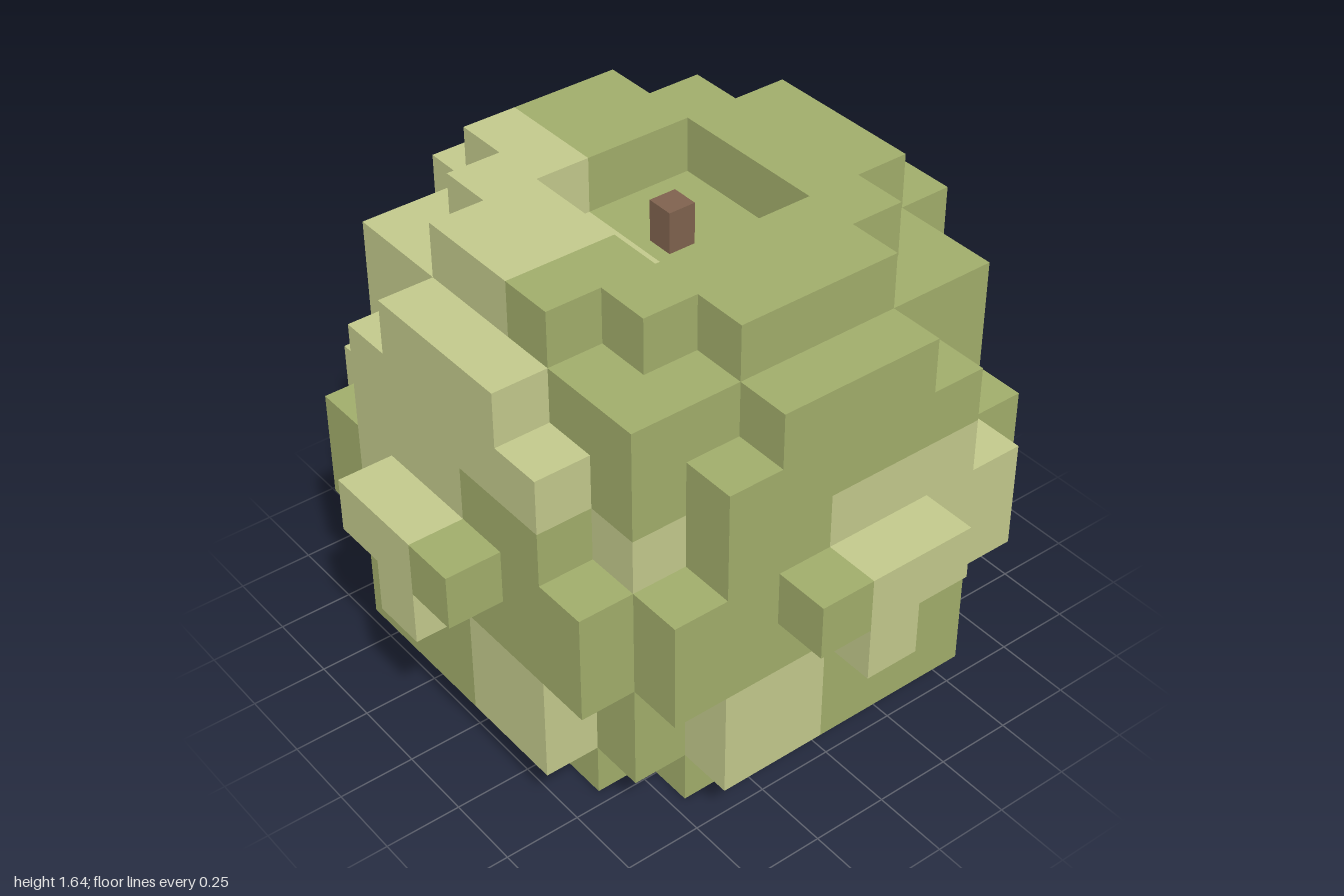
import * as THREE from 'three';
import { mergeGeometries } from 'three/addons/utils/BufferGeometryUtils.js';

const U = 2 / 11; // size of one block

const mats = {
  D: new THREE.MeshStandardMaterial({ color: 0xa1ad6b }),
  L: new THREE.MeshStandardMaterial({ color: 0xc3c98c }),
  stem: new THREE.MeshStandardMaterial({ color: 0x7f624e }),
};
mats.D.name = 'leafGreen';
mats.L.name = 'paleGreen';
mats.stem.name = 'stemBrown';

// Mottled skin in patches of 3 blocks: [height][x][z], D = leaf green, L = pale green
const PATCHES = [
  ['DDLD', 'LDDL', 'LLDD', 'LLLL'],
  ['DLDD', 'LLLD', 'LLLL', 'LDDL'],
  ['LLLL', 'LLDD', 'DDDD', 'DDDD'],
];
const patch = (i, j, k) =>
  PATCHES[Math.floor(j / 3)][Math.floor((i + 6) / 3)][Math.floor((k + 5) / 3)];

// Half widths of the raised side panels and side knobs, by layer
const PANEL = { 1: 2, 2: 2, 3: 3, 4: 3, 5: 2, 6: 2, 7: 1 };
const KNOB = { 3: 0, 4: 1 };

// Part name of the block at i, j, k, or null where there is none
function partAt(i, j, k) {
  const a = Math.abs(i), b = Math.abs(k);
  const d = Math.max(a, b), w = Math.min(a, b);
  const side = b > a ? (k > 0 ? 'front' : 'back') : (i > 0 ? 'left' : 'right');
  if (j < 0 || j > 8) return null;
  if (j === 0) return d <= 3 && w < 3 ? 'base' : null;
  if (j === 8) return d > 1 && d <= 3 && w <= (d === 3 ? 1 : 2) ? 'topRim' : null;
  if (d <= 3) return 'body';
  if (d === 4 && w <= PANEL[j]) return side + 'Panel';
  if (d === 5 && w <= KNOB[j]) return side + 'Knob';
  return null;
}

// One block face for each direction, pushed out from the block centre
const FACES = [
  [1, 0, 0], [-1, 0, 0], [0, 1, 0], [0, -1, 0], [0, 0, 1], [0, 0, -1],
].map((dir) => {
  const geo = new THREE.PlaneGeometry(U, U).translate(0, 0, U / 2);
  geo.applyQuaternion(new THREE.Quaternion().setFromUnitVectors(
    new THREE.Vector3(0, 0, 1), new THREE.Vector3(...dir)));
  if (dir[2] === -1) geo.copy(new THREE.PlaneGeometry(U, U).translate(0, 0, U / 2).rotateY(Math.PI));
  return { dir, geo };
});

export function createModel() {
  const model = new THREE.Group();
  model.name = 'blockFruit';

  // Gather the exposed faces by part and colour
  const parts = {};
  for (let i = -5; i <= 5; i++) for (let j = 0; j <= 8; j++) for (let k = -5; k <= 5; k++) {
    const part = partAt(i, j, k);
    if (!part) continue;
    const colour = patch(i, j, k);
    for (const { dir, geo } of FACES) {
      if (partAt(i + dir[0], j + dir[1], k + dir[2])) continue;
      parts[part] ??= {};
      (parts[part][colour] ??= []).push(geo.clone().translate(i * U, (j + 0.5) * U, k * U));
    }
  }

  // One group per part, one mesh per colour
  for (const [name, colours] of Object.entries(parts)) {
    const group = new THREE.Group();
    group.name = name;
    for (const [colour, faces] of Object.entries(colours)) {
      const mesh = new THREE.Mesh(mergeGeometries(faces), mats[colour]);
      mesh.name = name + (colour === 'L' ? 'PalePatch' : 'GreenPatch');
      group.add(mesh);
    }
    model.add(group);
  }

  // Short stem in the hollow of the top
  const stemHeight = U * 0.75;
  const stem = new THREE.Mesh(new THREE.BoxGeometry(U / 2, stemHeight, U / 2), mats.stem);
  stem.name = 'stem';
  stem.position.y = 8 * U + stemHeight / 2;
  model.add(stem);

  return model;
}
